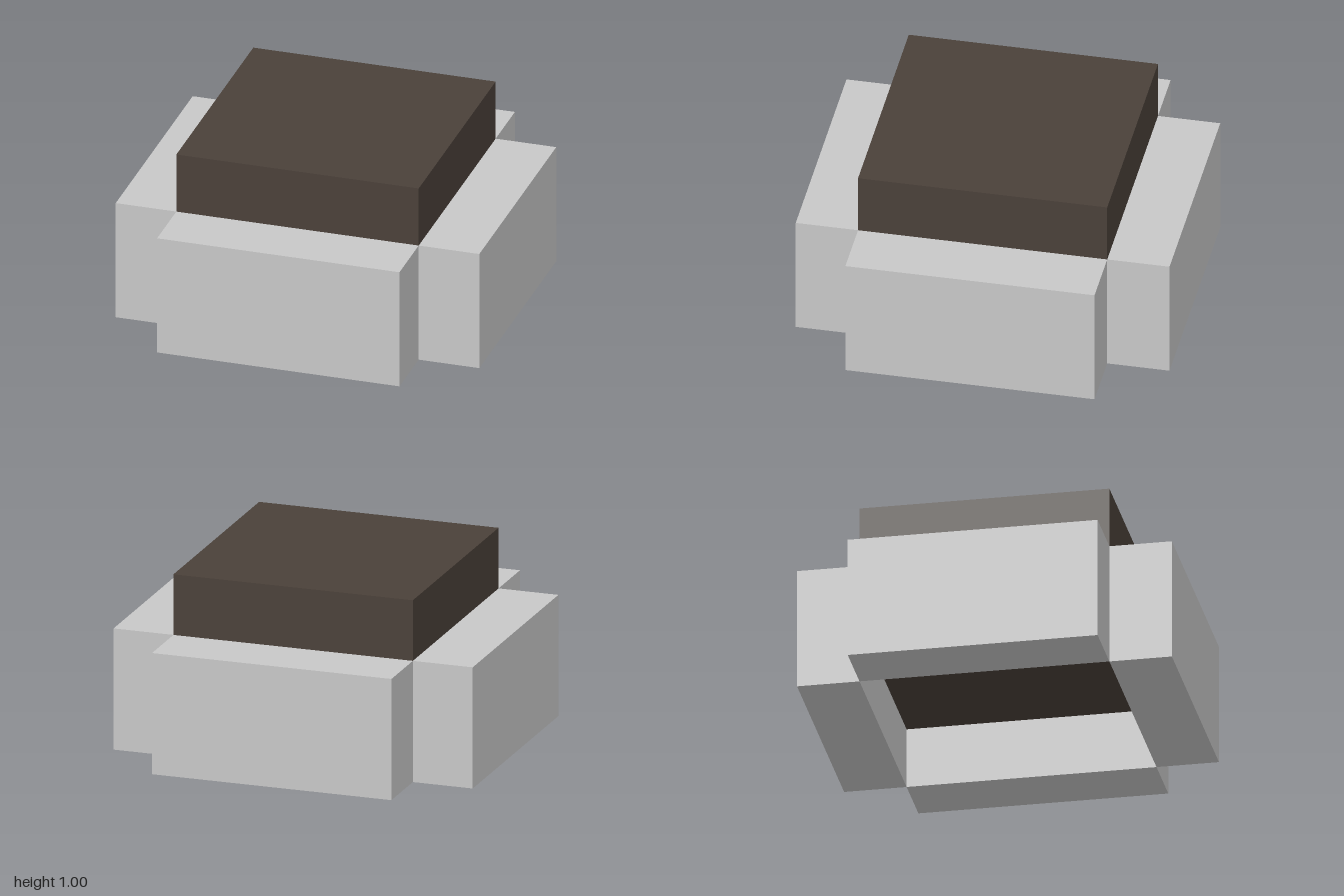
import * as THREE from 'three';

export function createModel() {
  const model = new THREE.Group();
  const stone = new THREE.MeshStandardMaterial({ color: 0xc7c7c7 });
  stone.name = 'light grey';
  const dark = new THREE.MeshStandardMaterial({ color: 0x4a4039 });
  dark.name = 'dark brown';

  const third = 1 / 3;

  // Central block, its underside recessed between the walls
  const core = new THREE.Mesh(new THREE.BoxGeometry(4 * third, 2 * third, 4 * third), dark);
  core.name = 'centreBlock';
  core.position.y = 2 * third;
  model.add(core);

  // Four walls around the block, touching only at its corners
  const wallGeometry = new THREE.BoxGeometry(4 * third, 2 * third, third);
  ['frontWall', 'leftWall', 'backWall', 'rightWall'].forEach((name, i) => {
    const angle = (i * Math.PI) / 2;
    const wall = new THREE.Mesh(wallGeometry, stone);
    wall.name = name;
    wall.rotation.y = angle;
    wall.position.set(Math.sin(angle) * 2.5 * third, third, Math.cos(angle) * 2.5 * third);
    model.add(wall);
  });

  return model;
}
